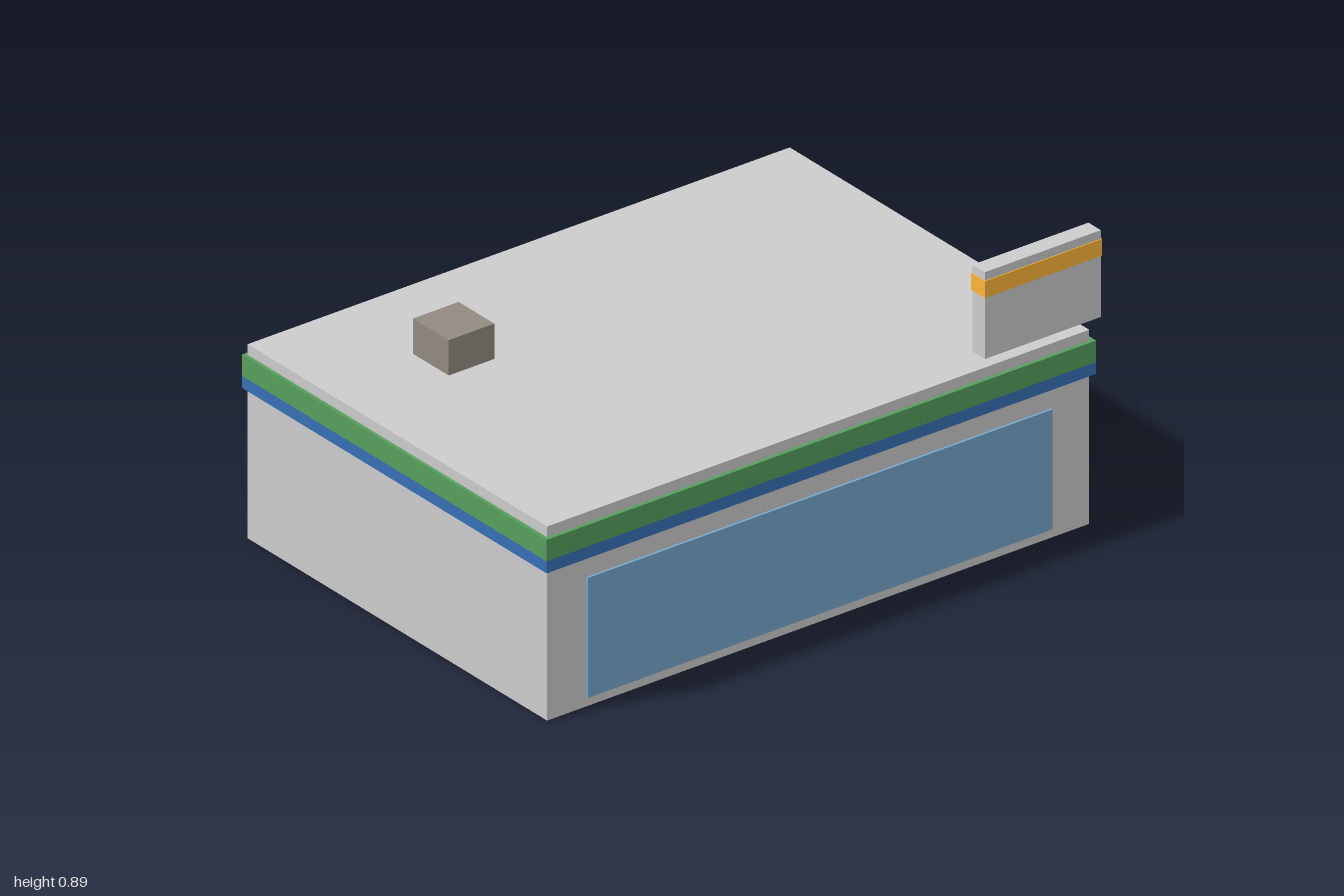
import * as THREE from 'three';

export function createModel() {
  const model = new THREE.Group();
  model.name = 'shopBuilding';

  // Box given by its min/max extents on each axis
  function addBox(name, color, [x0, x1], [y0, y1], [z0, z1]) {
    const mesh = new THREE.Mesh(
      new THREE.BoxGeometry(x1 - x0, y1 - y0, z1 - z0),
      new THREE.MeshStandardMaterial({ color })
    );
    mesh.position.set((x0 + x1) / 2, (y0 + y1) / 2, (z0 + z1) / 2);
    mesh.name = name;
    model.add(mesh);
  }

  const roofY = 0.615;

  // Main block
  addBox('building', 0xcccccc, [-0.989, 0.926], [0, roofY], [-0.685, 0.685]);

  // Two-tone fascia wrapping all four sides
  const bandX = [-1, 0.941], bandZ = [-0.697, 0.697];
  addBox('lowerFasciaBand', 0x3770b7, bandX, [0.475, 0.513], bandZ);
  addBox('upperFasciaBand', 0x569f5c, bandX, [0.513, 0.581], bandZ);

  // Shop window
  addBox('frontWindow', 0x75a7cc, [-0.85, 0.79], [0.03, 0.41], [0.68, 0.693]);

  // Rooftop equipment
  addBox('roofUnit', 0x918a80, [-0.658, -0.497], [roofY, 0.727], [-0.357, -0.194]);

  // Sign board overhanging the front corner, with a coloured stripe
  addBox('signBoard', 0xcccccc, [0.588, 0.998], [roofY, 0.89], [0.588, 0.645]);
  addBox('signStripe', 0xfeb539, [0.586, 1.0], [0.81, 0.863], [0.585, 0.648]);

  return model;
}
